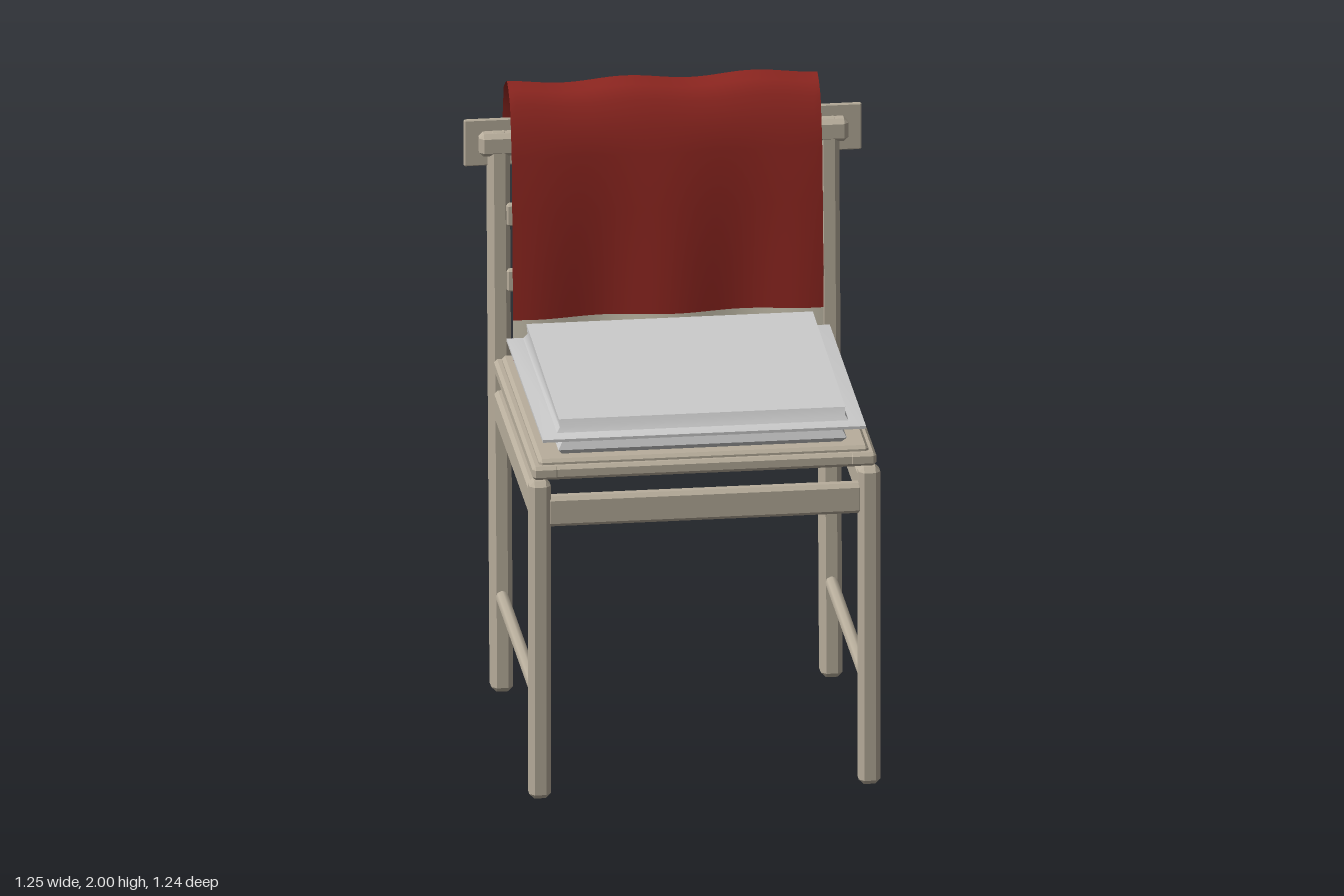
import * as THREE from 'three';
import { ConvexGeometry } from 'three/addons/geometries/ConvexGeometry.js';
import { toCreasedNormals } from 'three/addons/utils/BufferGeometryUtils.js';

const wood = new THREE.MeshStandardMaterial({ color: 0xb8ae9c });
const linen = new THREE.MeshStandardMaterial({ color: 0xcccccc });
const red = new THREE.MeshStandardMaterial({ color: 0x8e2620, side: THREE.DoubleSide });
const cream = new THREE.MeshStandardMaterial({ color: 0xcfc8b4, side: THREE.DoubleSide });

// Box with all edges chamfered by c
function beam(name, w, h, d, x, y, z, c = 0.012) {
  const points = [];
  for (const sx of [-0.5, 0.5]) for (const sy of [-0.5, 0.5]) for (const sz of [-0.5, 0.5]) {
    for (let full = 0; full < 3; full++) {
      const cut = [0, 1, 2].map(k => (k === full ? 0 : 2 * c));
      points.push(new THREE.Vector3(sx * (w - cut[0]), sy * (h - cut[1]), sz * (d - cut[2])));
    }
  }
  const mesh = new THREE.Mesh(new ConvexGeometry(points), wood);
  mesh.name = name;
  mesh.position.set(x, y, z);
  return mesh;
}

// Cushion lofted through rectangular rings: [half width, front z, back z, front y, back y]
function cushion() {
  const rings = [
    [0.44, 0.53, -0.27, 1.12, 1.12],
    [0.455, 0.55, -0.28, 1.14, 1.14],
    [0.44, 0.54, -0.27, 1.168, 1.168],
    [0.45, 0.55, -0.29, 1.182, 1.182],
    [0.51, 0.597, -0.318, 1.185, 1.185],
    [0.51, 0.597, -0.318, 1.194, 1.194],
    [0.46, 0.555, -0.3, 1.2, 1.2],
    [0.45, 0.545, -0.27, 1.215, 1.225],
    [0.452, 0.535, -0.28, 1.238, 1.254],
  ];
  const pos = [], index = [];
  for (const [hx, zf, zb, yf, yb] of rings) {
    pos.push(hx, yf, zf, hx, yb, zb, -hx, yb, zb, -hx, yf, zf);
  }
  for (let r = 0; r < rings.length - 1; r++) {
    for (let k = 0; k < 4; k++) {
      const a = r * 4 + k, b = r * 4 + (k + 1) % 4;
      index.push(a, b, b + 4, a, b + 4, a + 4);
    }
  }
  const t = (rings.length - 1) * 4;
  index.push(t, t + 1, t + 2, t, t + 2, t + 3, 0, 2, 1, 0, 3, 2);
  const geo = new THREE.BufferGeometry();
  geo.setAttribute('position', new THREE.Float32BufferAttribute(pos, 3));
  geo.setIndex(index);
  const mesh = new THREE.Mesh(toCreasedNormals(geo, 0.5), linen);
  mesh.name = 'seatCushion';
  return mesh;
}

// Rippled cloth swept along a profile: [z, y, ripple in z, ripple in y]
function cloth(name, profile, material) {
  const cols = 48;
  const geo = new THREE.PlaneGeometry(0.98, 1, cols, profile.length - 1);
  const p = geo.attributes.position;
  for (let i = 0; i < p.count; i++) {
    const [z, y, az, ay] = profile[Math.floor(i / (cols + 1))];
    const x = p.getX(i);
    p.setY(i, y + ay * Math.cos((x + 0.11) * 2 * Math.PI / 0.4));
    p.setZ(i, z - az * Math.cos((x + 0.2) * 2 * Math.PI / 0.44));
  }
  geo.computeVertexNormals();
  const mesh = new THREE.Mesh(geo, material);
  mesh.name = name;
  return mesh;
}

export function createModel() {
  const group = new THREE.Group();
  const lean = 0.0462;
  const backZ = y => -0.37 - lean * y;

  // Legs, side rails and stretchers, mirrored
  for (const [s, side] of [[1, 'left'], [-1, 'right']]) {
    group.add(beam(side + 'FrontLeg', 0.068, 1.06, 0.068, s * 0.52, 0.53, 0.587, 0.016));
    const back = beam(side + 'BackLeg', 0.068, 1.84, 0.082, s * 0.52, 0.922, backZ(0.922), 0.016);
    back.rotation.x = -lean;
    group.add(back);
    group.add(beam(side + 'SideRail', 0.046, 0.1, 0.95, s * 0.52, 0.955, 0.1));
    const stretcher = new THREE.Mesh(
      new THREE.CylinderGeometry(0.021, 0.021, 0.93, 8).rotateX(Math.PI / 2), wood);
    stretcher.name = side + 'Stretcher';
    stretcher.position.set(s * 0.52, 0.32, 0.1);
    group.add(stretcher);
    group.add(beam(side + 'SeatEdge', 0.085, 0.044, 0.99, s * 0.5, 1.083, 0.11, 0.01));
  }

  // Front and back rails, seat board and its edging
  group.add(
    beam('frontRail', 1.0, 0.1, 0.046, 0, 0.955, 0.587),
    beam('backRail', 1.0, 0.1, 0.046, 0, 0.955, backZ(0.955) + 0.015),
    beam('seatBoard', 1.04, 0.07, 0.95, 0, 1.087, 0.108, 0.01),
    beam('frontSeatEdge', 1.07, 0.044, 0.08, 0, 1.083, 0.563, 0.01),
    beam('backSeatEdge', 1.07, 0.044, 0.08, 0, 1.083, -0.345, 0.01),
  );

  // Back slats and the top rail with its thin flange
  for (const y of [1.36, 1.575]) {
    const slat = beam('backSlat', 1.0, 0.072, 0.03, 0, y, backZ(y) + 0.036, 0.006);
    slat.rotation.x = -lean;
    group.add(slat);
  }
  group.add(
    beam('topRail', 1.165, 0.075, 0.098, 0, 1.803, -0.458, 0.014),
    beam('topRailFlange', 1.255, 0.155, 0.014, 0, 1.802, -0.457, 0.004),
  );

  // Cushion and the blanket draped over the back
  group.add(cushion());
  const bandTop = [-0.322, 1.255, 0.012, 0], bandBottom = [-0.32, 1.19, 0.012, 0];
  group.add(
    cloth('blanket', [
      [-0.61, 1.67, 0.014, 0],
      [-0.592, 1.77, 0.012, 0.002],
      [-0.575, 1.87, 0.01, 0.004],
      [-0.55, 1.945, 0.006, 0.006],
      [-0.51, 1.972, 0.004, 0.007],
      [-0.47, 1.992, 0.002, 0.007],
      [-0.43, 1.975, 0.002, 0.007],
      [-0.39, 1.94, 0.002, 0.006],
      [-0.365, 1.86, 0.002, 0.003],
      [-0.347, 1.78, 0.002, 0],
      [-0.336, 1.6, 0.006, 0],
      [-0.327, 1.42, 0.01, 0],
      bandTop,
    ], red),
    cloth('blanketStripe', [bandTop, bandBottom], cream),
    cloth('blanketHem', [bandBottom, [-0.317, 1.122, 0.012, 0]], red),
  );
  return group;
}
